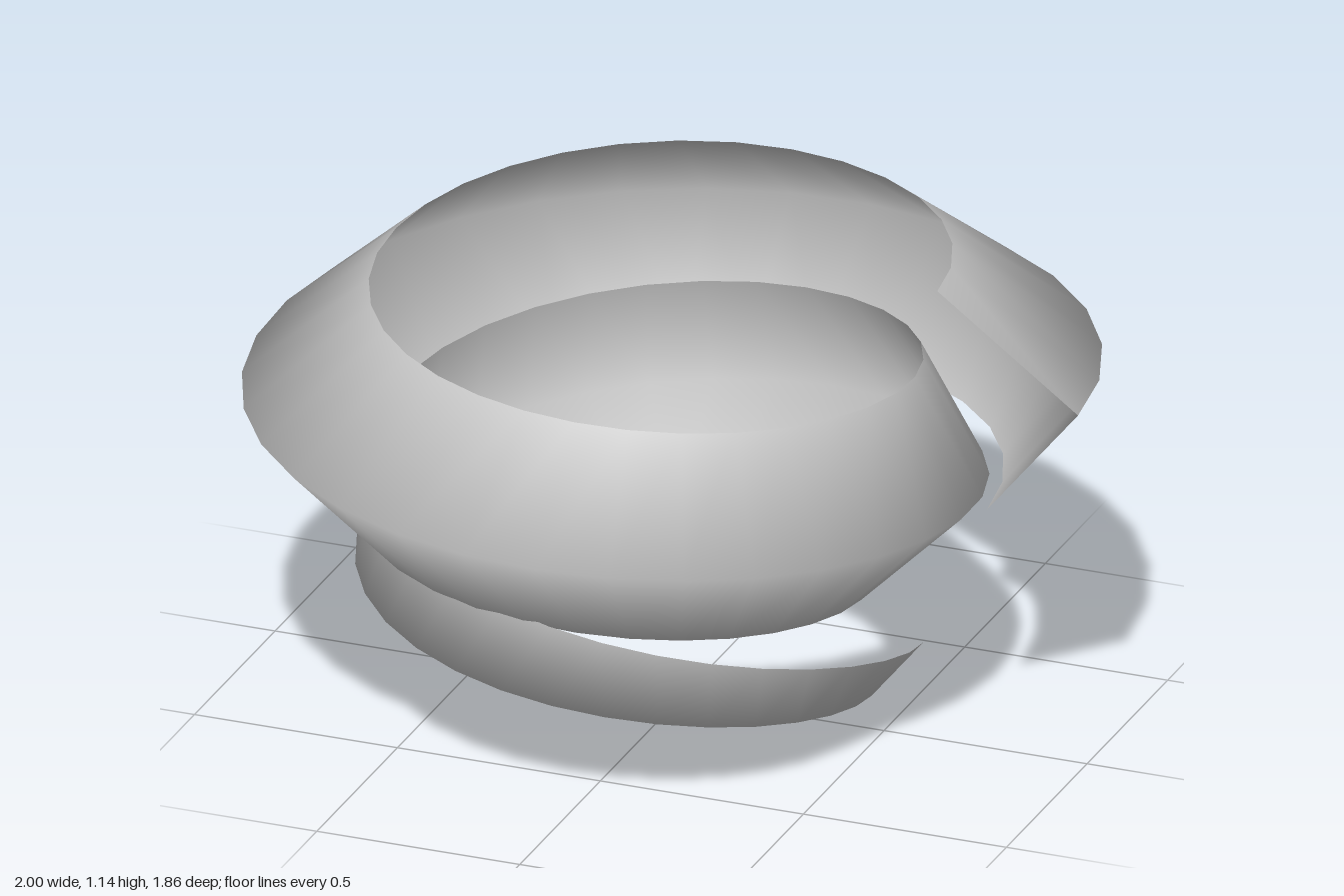
import * as THREE from 'three';

// Edge guide points [radius, height], one every quarter turn
const EDGES = {
  lower: [[0.13, 0], [0.205, 0.06], [0.32, 0.15], [0.445, 0.25], [0.53, 0.345], [0.60, 0.44], [0.68, 0.51], [0.77, 0.58], [0.84, 0.62]],
  middle: [[0.53, 0.07], [0.60, 0.235], [0.66, 0.37], [0.72, 0.495], [0.80, 0.61], [0.865, 0.71], [0.93, 0.79], [0.99, 0.86], [1.07, 0.90]],
  upper: [[0.64, 0.19], [0.62, 0.43], [0.63, 0.63], [0.65, 0.77], [0.635, 0.885], [0.615, 0.975], [0.63, 1.05], [0.68, 1.115], [0.715, 1.145]],
};
const SEGMENTS = 64;
const AXIS_X = -0.07, AXIS_Z = 0.06;

// Ribbon of two turns with a bent, three-point cross-section
function spiralRibbon() {
  const curves = Object.values(EDGES).map((points) => new THREE.CatmullRomCurve3(
    points.map(([r, y]) => new THREE.Vector3(r, y, 0)), false, 'catmullrom', 0.5));
  const positions = [], index = [];
  for (let i = 0; i <= SEGMENTS; i++) {
    const t = i / SEGMENTS;
    const angle = THREE.MathUtils.degToRad(THREE.MathUtils.lerp(-5.4, 723.2, t));
    // Sections trail slightly behind the axis, square to the spiral path
    const trail = THREE.MathUtils.lerp(-0.10, -0.06, t);
    const c = Math.cos(angle), s = Math.sin(angle);
    for (const curve of curves) {
      const p = curve.getPoint(t);
      positions.push(AXIS_X + p.x * c - trail * s, p.y, AXIS_Z + p.x * s + trail * c);
    }
    if (i === SEGMENTS) continue;
    for (let j = 0; j < 2; j++) {
      const a = i * 3 + j, b = a + 3;
      index.push(a, a + 1, b, b, a + 1, b + 1);
    }
  }
  const geometry = new THREE.BufferGeometry();
  geometry.setAttribute('position', new THREE.Float32BufferAttribute(positions, 3));
  geometry.setIndex(index);
  geometry.computeVertexNormals();
  return geometry;
}

export function createModel() {
  const group = new THREE.Group();
  group.name = 'spiralBowl';
  const grey = new THREE.MeshStandardMaterial({ color: 0xc4c4c4, side: THREE.DoubleSide });
  grey.name = 'light grey';
  const ribbon = new THREE.Mesh(spiralRibbon(), grey);
  ribbon.name = 'spiralRibbon';
  group.add(ribbon);
  return group;
}
